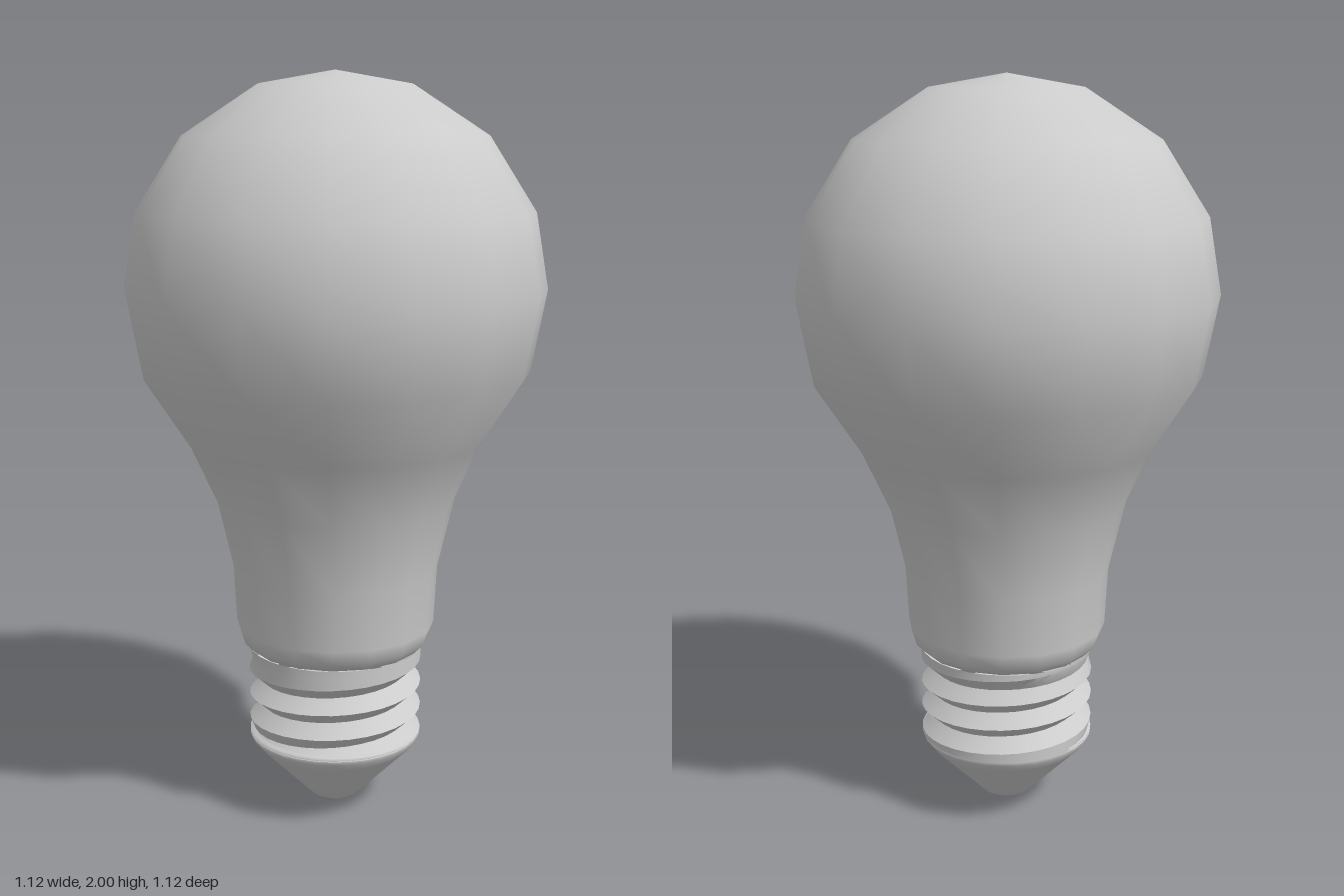
import * as THREE from 'three';
import { toCreasedNormals } from 'three/addons/utils/BufferGeometryUtils.js';

const grey = () => new THREE.MeshStandardMaterial({ color: 0xcccccc, side: THREE.DoubleSide });

function lathe(name, profile, sides) {
  const points = profile.map(([r, y]) => new THREE.Vector2(r, y));
  const mesh = new THREE.Mesh(new THREE.LatheGeometry(points, sides), grey());
  mesh.name = name;
  return mesh;
}

// Helical screw thread: each column holds crests and valleys that climb one pitch per turn
function screwThread() {
  const top = 0.46, bottom = 0.205, pitch = 0.07, sides = 32;
  const outer = 0.238, inner = 0.2;
  const { clamp } = THREE.MathUtils;
  const position = [], index = [];
  const turns = 5, rows = turns * 2 + 1;
  for (let i = 0; i <= sides; i++) {
    const t = i / sides, a = t * Math.PI * 2;
    for (let j = 0; j < rows; j++) {
      // row 0 is the collar rim, then crest, valley, crest, ...
      const y = j === 0 ? top : clamp(0.415 - (j - 1) * pitch / 2 + t * pitch, bottom, top);
      // valleys fade out at both ends of the thread
      const fade = clamp(Math.min((0.435 - y) / 0.04, (y - bottom) / 0.03), 0, 1);
      const valley = j > 0 && j % 2 === 0;
      const r = valley ? outer - (outer - inner) * fade : outer;
      position.push(r * Math.cos(a), y, -r * Math.sin(a));
    }
  }
  for (let i = 0; i < sides; i++) {
    for (let j = 0; j < rows - 1; j++) {
      const a = i * rows + j, b = a + rows;
      index.push(a, a + 1, b, b, a + 1, b + 1);
    }
  }
  const geometry = new THREE.BufferGeometry();
  geometry.setAttribute('position', new THREE.Float32BufferAttribute(position, 3));
  geometry.setIndex(index);
  const mesh = new THREE.Mesh(toCreasedNormals(geometry, 0.6), grey());
  mesh.name = 'screwThread';
  return mesh;
}

export function createModel() {
  const model = new THREE.Group();
  model.name = 'lightBulb';

  // Glass envelope with a neck that tucks in over the screw base
  model.add(lathe('glassBulb', [
    [0.2, 0.455], [0.235, 0.46], [0.26, 0.485], [0.272, 0.525], [0.28, 0.68],
    [0.325, 0.875], [0.4, 1.04], [0.52, 1.225], [0.56, 1.44],
    [0.525, 1.64], [0.4, 1.835], [0.2, 1.965], [0, 2],
  ], 16));

  model.add(screwThread());

  // Tapered contact tip below the thread
  model.add(lathe('contactTip', [
    [0, 0], [0.035, 0.003], [0.07, 0.022], [0.215, 0.17], [0.235, 0.195], [0.238, 0.215], [0.2, 0.217],
  ], 32));

  return model;
}
